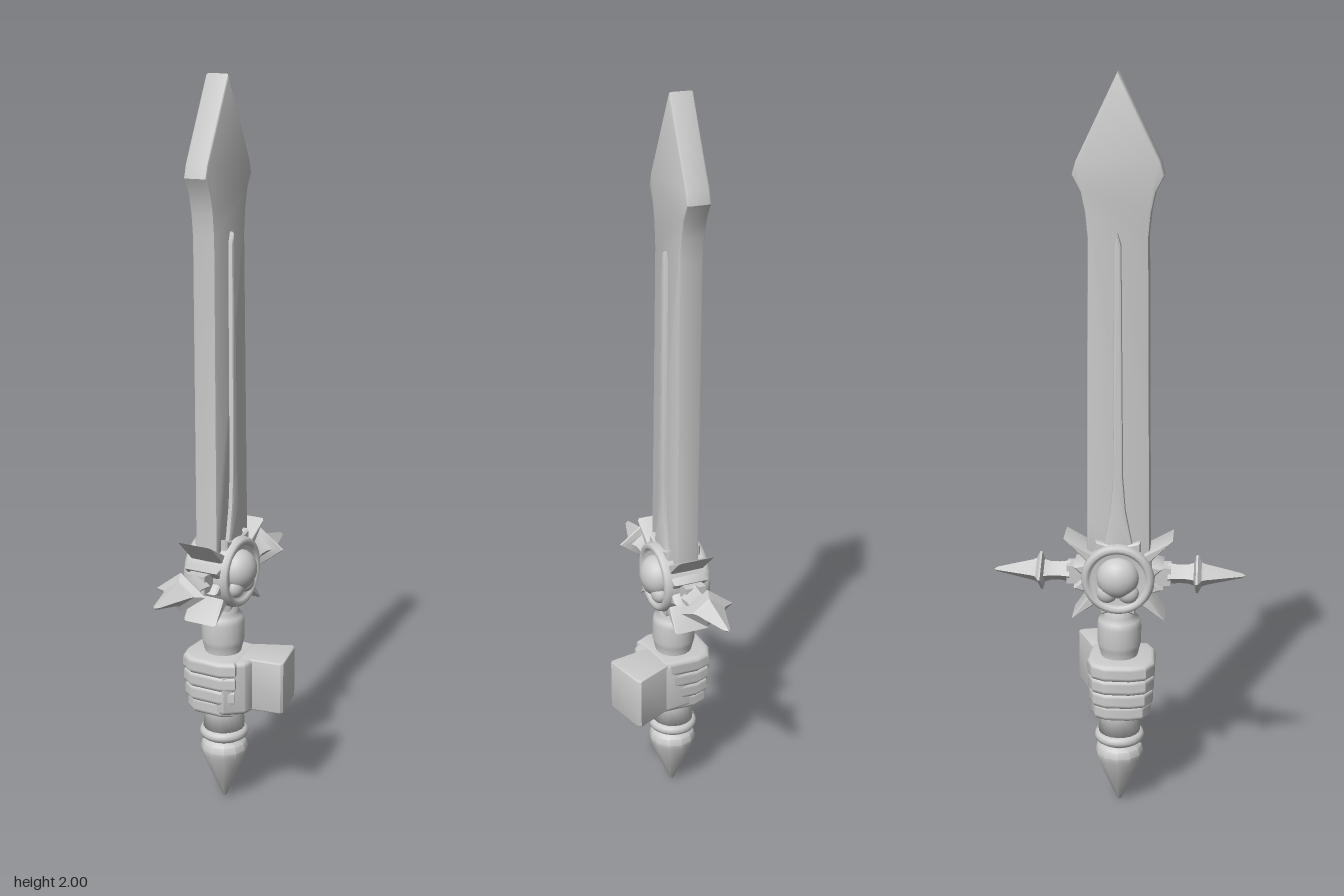
import * as THREE from 'three';
import { toCreasedNormals } from 'three/addons/utils/BufferGeometryUtils.js';

const material = new THREE.MeshStandardMaterial({ color: 0xcccccc });

function add(parent, name, geometry, x = 0, y = 0, z = 0) {
  const mesh = new THREE.Mesh(geometry, material);
  mesh.name = name;
  mesh.position.set(x, y, z);
  parent.add(mesh);
  return mesh;
}

const shapeOf = (points) => new THREE.Shape(points.map((p) => new THREE.Vector2(p[0], p[1])));
const lathe = (points, sides) => new THREE.LatheGeometry(points.map((p) => new THREE.Vector2(p[0], p[1])), sides);

// Bevelled slab centred on its own depth; the bevel stays inside the outline
function slab(shape, depth, bevel, segments = 2) {
  const g = new THREE.ExtrudeGeometry(shape, {
    depth: depth - 2 * bevel, bevelEnabled: bevel > 0, bevelThickness: bevel,
    bevelSize: bevel, bevelOffset: -bevel, bevelSegments: segments, curveSegments: 6,
  });
  g.translate(0, 0, -(depth - 2 * bevel) / 2);
  return toCreasedNormals(g, 0.7);
}

// Half outline given as [z, y] from bottom to top, mirrored and extruded across x
function sideSlab(half, depth, bevel) {
  const mirrored = half.filter((p) => p[0] > 0).reverse().map(([z, y]) => [-z, y]);
  return slab(shapeOf([...half, ...mirrored]), depth, bevel).rotateY(-Math.PI / 2);
}

function buildBlade(sword) {
  add(sword, 'blade', sideSlab([[0.085, 0.68], [0.083, 0.85], [0.077, 1.6], [0.083, 1.66],
    [0.094, 1.71], [0.115, 1.75], [0.105, 1.785], [0, 2]], 0.066, 0.006));
  // raised central rib that flares towards the guard
  add(sword, 'bladeRib', sideSlab([[0.06, 0.7], [0.035, 0.8], [0.02, 0.88], [0.013, 0.97],
    [0.009, 1.58], [0, 1.61]], 0.09, 0.006));
}

function buildGuard(sword) {
  const guard = new THREE.Group();
  guard.name = 'guard';
  guard.position.y = 0.69;
  sword.add(guard);

  // sunburst plate with alternating spikes and hollows
  const tips = [[0.145, 0.11], [0.06, 0.105], [-0.06, 0.105], [-0.145, 0.11],
    [-0.12, 0.03], [-0.12, -0.03], [-0.125, -0.118], [-0.045, -0.105],
    [0.045, -0.105], [0.125, -0.118], [0.12, -0.03], [0.12, 0.03]];
  const star = new THREE.Shape();
  tips.forEach(([z, y], i) => {
    if (i === 0) star.moveTo(z, y); else star.lineTo(z, y);
    const next = tips[(i + 1) % tips.length];
    const a = Math.atan2(y + next[1], z + next[0]);
    star.lineTo(Math.cos(a) * 0.088, Math.sin(a) * 0.088);
  });
  add(guard, 'sunburst', slab(star, 0.1, 0.005, 1).rotateY(-Math.PI / 2));

  // round boss with rim and domed emblem on each face
  for (const s of [-1, 1]) {
    const face = new THREE.Group();
    face.name = s > 0 ? 'leftBoss' : 'rightBoss';
    face.rotation.z = -s * Math.PI / 2;
    guard.add(face);
    add(face, 'bossRim', lathe([[0.097, 0], [0.098, 0.052], [0.094, 0.065], [0.085, 0.069],
      [0.077, 0.064], [0.072, 0.055], [0, 0.055]], 32));
    const dome = add(face, 'bossDome', new THREE.SphereGeometry(0.057, 24, 12), -s * 0.008, 0.052, 0);
    dome.scale.y = 0.83;
    dome.position.x = -s * 0.006;
    for (const k of [-1, 1]) {
      const lobe = add(face, 'bossLobe', new THREE.SphereGeometry(0.029, 16, 10), s * 0.036, 0.057, k * 0.028);
      lobe.scale.y = 0.8;
    }
  }

  // arms ending in flared four-sided points
  for (const s of [-1, 1]) {
    const arm = new THREE.Group();
    arm.name = s > 0 ? 'frontArm' : 'backArm';
    arm.rotation.x = s * Math.PI / 2;
    guard.add(arm);
    add(arm, 'armBlock', new THREE.BoxGeometry(0.056, 0.09, 0.05), 0, 0.095, 0);
    const profile = [[0.041, 0.132], [0.036, 0.16], [0.037, 0.185], [0.044, 0.201], [0.073, 0.207],
      [0.075, 0.212], [0.048, 0.222], [0.041, 0.232], [0.009, 0.33], [0, 0.339]];
    const point = add(arm, 'armPoint', toCreasedNormals(lathe(profile, 4), 0.6));
    point.scale.z = 0.74;
  }
}

function buildHandle(sword) {
  add(sword, 'grip', lathe([[0, 0.2], [0.058, 0.22], [0.056, 0.28], [0.05, 0.32], [0.05, 0.45],
    [0.056, 0.475], [0.06, 0.49], [0.06, 0.54], [0.056, 0.557], [0.044, 0.568], [0.044, 0.62], [0, 0.63]], 20));
  const collar = add(sword, 'gripCollar', new THREE.TorusGeometry(0.053, 0.016, 10, 24), 0, 0.207, 0);
  collar.rotation.x = Math.PI / 2;
  add(sword, 'pommel', toCreasedNormals(lathe([[0, 0], [0.006, 0.004], [0.05, 0.105], [0.064, 0.142],
    [0.067, 0.158], [0.062, 0.176], [0.05, 0.186], [0.05, 0.21], [0, 0.21]], 12), 0.6));
}

function buildHand(model) {
  const hand = new THREE.Group();
  hand.name = 'hand';
  model.add(hand);

  // outlines are [x, z] seen from above
  const upright = (points, height, bevel) =>
    slab(shapeOf(points.map(([x, z]) => [x, -z])), height, bevel, 3).rotateX(-Math.PI / 2);
  const fingers = [[0.429, 0.046, 1], [0.388, 0.046, 0.98], [0.347, 0.046, 0.95], [0.308, 0.046, 0.88]];
  for (const [y, height, size] of fingers) {
    const outline = [[0.04, 0.075], [0, 0.097], [-0.09, 0.1], [-0.125, 0.078], [-0.138, 0.035],
      [-0.138, -0.035], [-0.12, -0.07], [-0.08, -0.085], [0.02, -0.08]];
    add(hand, 'finger', upright(outline.map(([x, z]) => [-0.04 + (x + 0.04) * size, z * size]), height, 0.013), 0, y, 0);
  }
  add(hand, 'palm', upright([[0.062, 0.02], [0.056, 0.05], [0.01, 0.088], [-0.06, 0.08],
    [-0.1, 0], [-0.06, -0.075], [0.02, -0.083], [0.05, -0.07]], 0.155, 0.012), 0, 0.372, 0);
  add(hand, 'wrist', upright([[0.02, 0.028], [0.143, 0.007], [0.148, 0], [0.12, -0.118], [0.11, -0.126],
    [0.01, -0.08]], 0.15, 0.004), 0, 0.375, 0);
}

export function createModel() {
  const model = new THREE.Group();
  model.name = 'swordInFist';
  const sword = new THREE.Group();
  sword.name = 'sword';
  sword.position.x = -0.038;
  sword.rotation.z = 0.0085;
  model.add(sword);
  buildBlade(sword);
  buildGuard(sword);
  buildHandle(sword);
  buildHand(model);
  return model;
}
